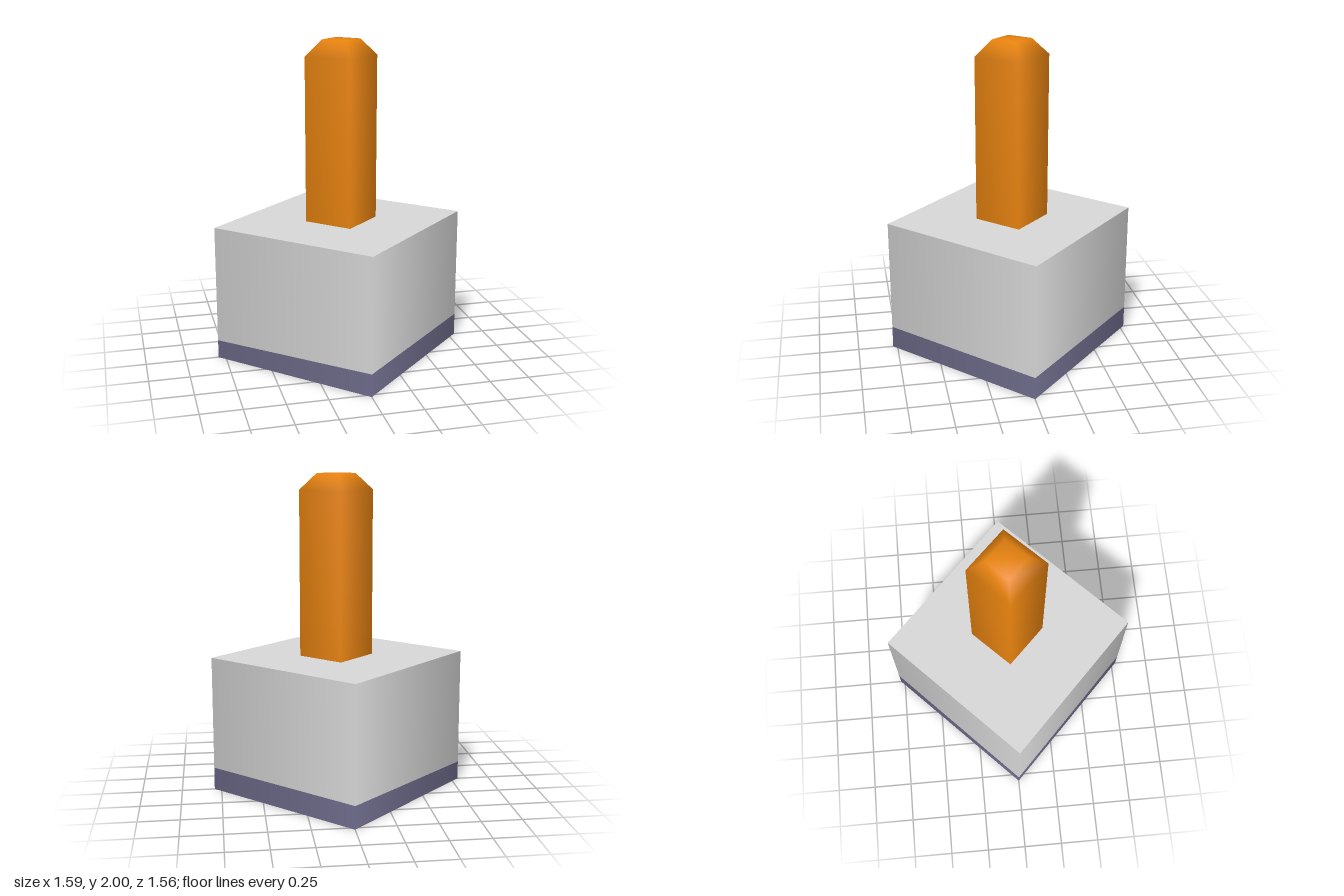
import * as THREE from 'three';

const RX = 0.795, RZ = 0.778;   // half diagonals of the diamond base
const SEAM = 0.148, TOP = 0.865;

function material(name, color) {
  return new THREE.MeshStandardMaterial({ name, color });
}

// Four-sided smooth-shaded wall; the left-hand corner of the seam sits lower
function wall(y0, y1, seamY) {
  const g = new THREE.CylinderGeometry(1, 1, y1 - y0, 4, 1, true);
  g.scale(RX, 1, RZ);
  g.translate(0, (y0 + y1) / 2, 0);
  const p = g.attributes.position;
  for (let i = 0; i < p.count; i++) {
    if (p.getX(i) < -0.5 && Math.abs(p.getY(i) - seamY) < 0.01) p.setY(i, seamY - 0.027);
  }
  return g;
}

// Flat diamond closing the block
function cap(y, up) {
  const g = new THREE.CircleGeometry(1, 4);
  g.rotateX(up ? -Math.PI / 2 : Math.PI / 2);
  g.scale(RX, 1, RZ);
  g.translate(0, y, 0);
  return g;
}

export function createModel() {
  const model = new THREE.Group();
  const grey = material('lightGrey', 0xd6d6d6);
  const slate = material('slatePurple', 0x6e6c8b);
  const orange = material('orange', 0xe8830f);

  const add = (name, geometry, mat) => {
    const mesh = new THREE.Mesh(geometry, mat);
    mesh.name = name;
    model.add(mesh);
    return mesh;
  };

  // Block
  add('baseBand', wall(0.005, SEAM, SEAM), slate);
  add('blockWall', wall(SEAM, TOP, SEAM), grey);
  add('blockTop', cap(TOP, true), grey);
  add('blockUnderside', cap(0.005, false), grey);

  // Post with a chamfered tip, smooth-shaded on four sides
  const profile = [[0.228, 0.86], [0.228, 1.9], [0.12, 2], [0, 2]]
    .map(([r, y]) => new THREE.Vector2(r, y));
  const post = add('post', new THREE.LatheGeometry(profile, 4), orange);
  post.position.set(0.012, 0, -0.007);

  return model;
}
